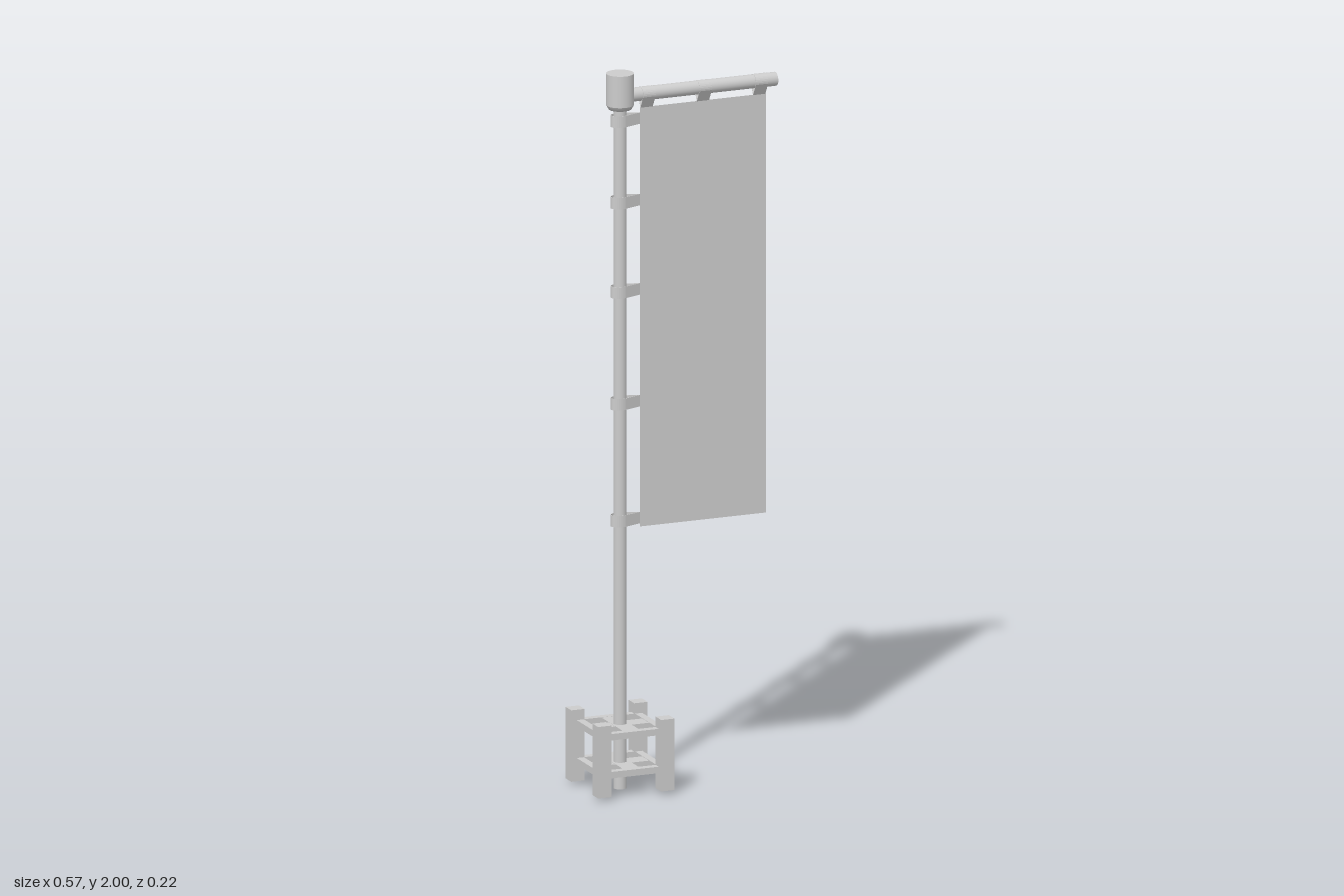
import * as THREE from 'three';

const POLE_X = -0.173;
const BAR_Y = 1.936;

export function createModel() {
  const group = new THREE.Group();
  const material = new THREE.MeshStandardMaterial({ color: 0xcccccc });
  const thin = new THREE.MeshStandardMaterial({ color: 0xcccccc, side: THREE.DoubleSide });

  const add = (name, geometry, x, y, z, mat = material) => {
    const mesh = new THREE.Mesh(geometry, mat);
    mesh.name = name;
    mesh.position.set(x, y, z);
    group.add(mesh);
    return mesh;
  };
  const box = (name, w, h, d, x, y, z) => add(name, new THREE.BoxGeometry(w, h, d), x, y, z);

  // Teardrop band: wraps a rod at the origin and closes to a tip on +x
  const loopGeometry = (rx, ry, tip, width) => {
    const outline = (inset) => {
      const points = [new THREE.Vector2(tip - inset, 0)];
      for (let i = 0; i <= 16; i++) {
        const a = Math.PI * (0.4 + (1.2 * i) / 16);
        points.push(new THREE.Vector2(Math.cos(a) * (rx - inset), Math.sin(a) * (ry - inset)));
      }
      return points;
    };
    const shape = new THREE.Shape(outline(0));
    shape.holes.push(new THREE.Path(outline(0.0015)));
    const geometry = new THREE.ExtrudeGeometry(shape, { depth: width, bevelEnabled: false });
    return geometry.translate(0, 0, -width / 2);
  };

  // Pole and its cap with a chamfered lower rim
  add('pole', new THREE.CylinderGeometry(0.018, 0.018, 1.92, 24), POLE_X, 0.96, 0);
  const capProfile = [[0, 1.9], [0.031, 1.9], [0.038, 1.912], [0.038, 1.912], [0.038, 2], [0.038, 2], [0, 2]];
  add('poleCap', new THREE.LatheGeometry(capProfile.map(([r, y]) => new THREE.Vector2(r, y)), 32), POLE_X, 0, 0);

  // Horizontal bar
  const bar = add('crossbar', new THREE.CylinderGeometry(0.019, 0.019, 0.433, 24), 0.0665, BAR_Y, 0);
  bar.rotation.z = Math.PI / 2;

  // Cloth
  add('banner', new THREE.PlaneGeometry(0.37, 1.173), 0.07, 1.3115, 0, thin);

  // Straps around the pole
  const poleLoop = loopGeometry(0.027, 0.0195, 0.058, 0.032).rotateX(-Math.PI / 2);
  for (const y of [1.868, 1.64, 1.39, 1.077, 0.75]) add('poleStrap', poleLoop, POLE_X, y, 0, thin);

  // Straps around the bar
  const barLoop = loopGeometry(0.0196, 0.0205, 0.039, 0.036).rotateZ(-Math.PI / 2).rotateY(Math.PI / 2);
  for (const x of [-0.095, 0.07, 0.235]) add('barStrap', barLoop, x, BAR_Y, 0, thin);

  // Stand: corner posts
  for (const sx of [-1, 1]) {
    for (const sz of [-1, 1]) box('standPost', 0.039, 0.2, 0.039, POLE_X + sx * 0.0925, 0.11, sz * 0.093);
  }

  // Stand: two tiers of edge rails and crossed boards
  for (const y of [0.066, 0.172]) {
    for (const s of [-1, 1]) {
      box('sideRail', 0.021, 0.018, 0.15, POLE_X + s * 0.0855, y, 0);
      box('endRail', 0.15, 0.018, 0.021, POLE_X, y, s * 0.0845);
    }
    box('crossBoard', 0.047, 0.017, 0.15, POLE_X, y, 0);
    box('crossBoard', 0.15, 0.016, 0.048, POLE_X, y, 0);
  }

  return group;
}
